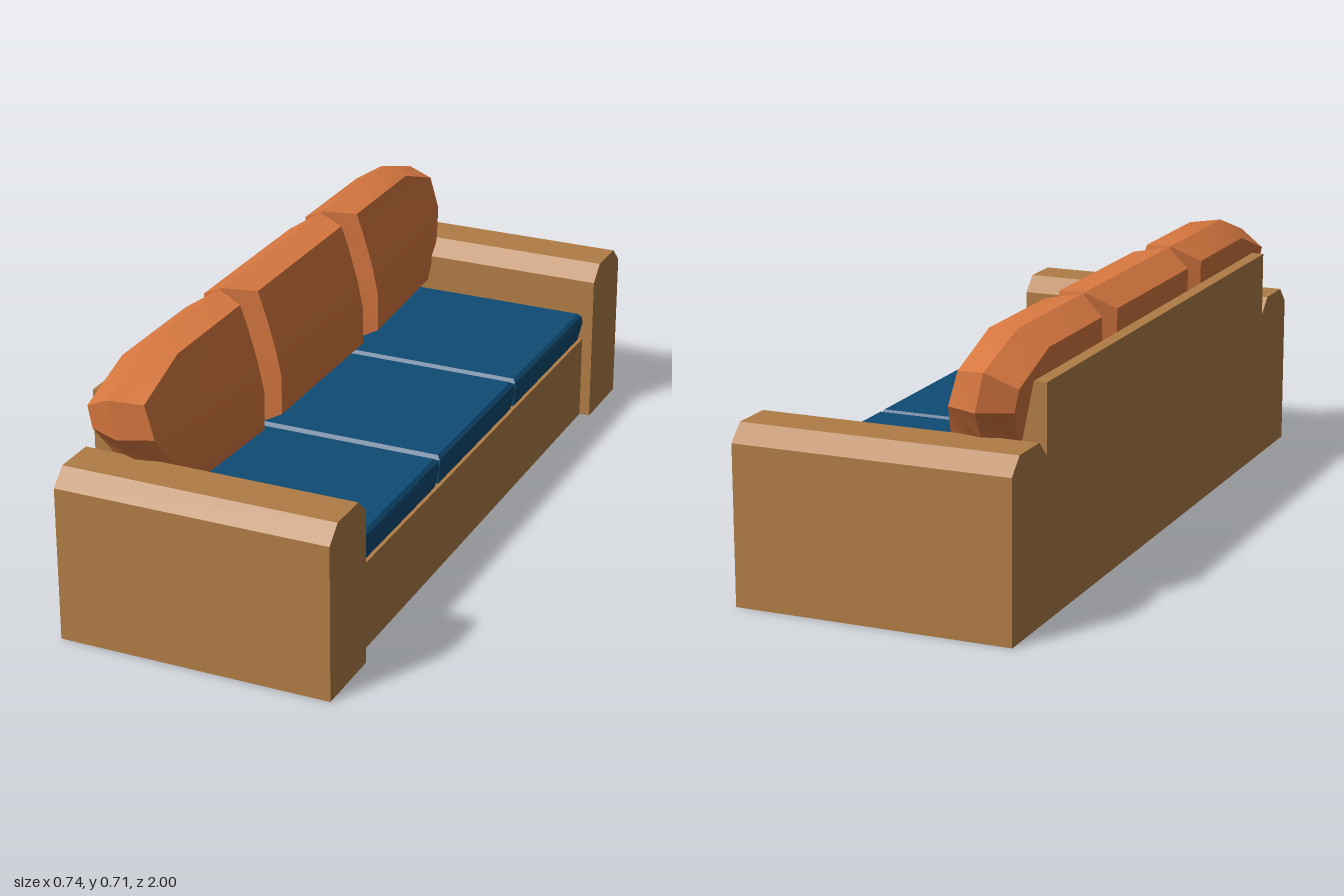
import * as THREE from 'three';
import { toCreasedNormals } from 'three/addons/utils/BufferGeometryUtils.js';

const mat = (name, color) => {
  const m = new THREE.MeshStandardMaterial({ color });
  m.name = name;
  return m;
};

// Skin between stacked loops (bottom to top), each running back-to-front at low z
// and front-to-back at high z, closed with a strip of quads at both ends.
function loft(loops, crease) {
  const n = loops[0].length;
  const pos = [];
  const quad = (a, b, c, d) => [a, b, c, a, c, d].forEach((p) => pos.push(...p));
  for (let r = 0; r < loops.length - 1; r++) {
    for (let i = 0; i < n; i++) {
      const j = (i + 1) % n;
      quad(loops[r][i], loops[r + 1][i], loops[r + 1][j], loops[r][j]);
    }
  }
  const bottom = loops[0], top = loops[loops.length - 1];
  for (let i = 0; i < n / 2 - 1; i++) {
    quad(bottom[i], bottom[i + 1], bottom[n - 2 - i], bottom[n - 1 - i]);
    quad(top[i], top[n - 1 - i], top[n - 2 - i], top[i + 1]);
  }
  const g = new THREE.BufferGeometry();
  g.setAttribute('position', new THREE.Float32BufferAttribute(pos, 3));
  return toCreasedNormals(g, crease);
}

// Side section of a back pillow: [x, y] at its back, widest line and front
const SECTION = [
  [[-0.285, 0.35], [-0.2, 0.32], [-0.115, 0.355]],
  [[-0.31, 0.46], [-0.225, 0.46], [-0.114, 0.46]],
  [[-0.326, 0.54], [-0.24, 0.54], [-0.131, 0.54]],
  [[-0.338, 0.6], [-0.262, 0.642], [-0.157, 0.63]],
  [[-0.338, 0.662], [-0.265, 0.706], [-0.18, 0.695]],
];
// Outer end of the side pillows: z at the back, widest line and front
const OUTER_END = [
  [0.77, 0.78, 0.77],
  [0.82, 0.85, 0.83],
  [0.88, 0.917, 0.88],
  [0.88, 0.917, 0.88],
  [0.7, 0.72, 0.7],
];

// side: 0 for the middle pillow, 1 or -1 for the pillows next to the arms
function pillowGeometry(side) {
  const loops = SECTION.map((row, r) => {
    const inner = side ? [0.36, 0.313, 0.36] : [-0.258, -0.302, -0.258];
    const outer = side ? OUTER_END[r] : [0.258, 0.302, 0.258];
    const low = side < 0 ? outer.map((z) => -z) : inner;
    const high = side < 0 ? inner.map((z) => -z) : outer;
    // the front curves away slightly towards the outer end
    const point = ([x, y], k, z) => {
      const recede = k === 2 && r < 4 && Math.abs(z) > 0.7 ? 0.022 : 0;
      return [x - recede, y, z];
    };
    return [
      ...row.map((p, k) => point(p, k, low[k])),
      ...row.map((p, k) => point(p, k, high[k])).reverse(),
    ];
  });
  return loft(loops, 0.5);
}

// Seat cushion with a bevelled top and a slightly tapered lower side
function seatGeometry(z0, z1) {
  const loops = [[0.24, 0.01], [0.293, 0], [0.312, 0.003], [0.322, 0.012]].map(([y, inset]) => {
    const xb = -0.29, xf = 0.342 - inset;
    const a = z0 + inset, b = z1 - inset;
    return [[xb, y, a], [xf, y, a], [xf, y, b], [xb, y, b]];
  });
  return loft(loops, 0.2);
}

// Straight extrusion of a polygon in x and y
function prism(points, depth) {
  const shape = new THREE.Shape(points.map(([x, y]) => new THREE.Vector2(x, y)));
  return new THREE.ExtrudeGeometry(shape, { depth, bevelEnabled: false })
    .translate(0, 0, -depth / 2);
}

export function createModel() {
  const model = new THREE.Group();
  model.name = 'sofa';
  const tan = mat('tan fabric', 0xb07c45);
  const orange = mat('orange fabric', 0xd87840);
  const blue = mat('blue fabric', 0x0f4c74);

  const add = (name, geometry, material) => {
    const mesh = new THREE.Mesh(geometry, material);
    mesh.name = name;
    model.add(mesh);
    return mesh;
  };

  // Base and leaning backrest in one profile
  add('frame', prism([
    [-0.372, 0], [0.342, 0], [0.342, 0.24], [-0.265, 0.24], [-0.338, 0.6], [-0.372, 0.6],
  ], 1.586), tan);

  // Arms with chamfered tops
  const w = 0.1035, c = 0.045;
  const arm = prism([
    [-w, 0], [w, 0], [w, 0.42], [w - c, 0.463], [c - w, 0.463], [-w, 0.42],
  ], 0.744).rotateY(Math.PI / 2);
  for (const s of [1, -1]) {
    add(s > 0 ? 'leftSideArm' : 'rightSideArm', arm, tan).position.z = s * (1 - w);
  }

  // Three seat cushions and three back pillows
  const names = ['First', 'Middle', 'Last'];
  const seatWidth = 1.586 / 3;
  [-1, 0, 1].forEach((side, i) => {
    const z = side * seatWidth;
    add('seatCushion' + names[i], seatGeometry(z - seatWidth / 2 + 0.001, z + seatWidth / 2 - 0.001), blue);
    add('backPillow' + names[i], pillowGeometry(side), orange);
  });

  return model;
}
